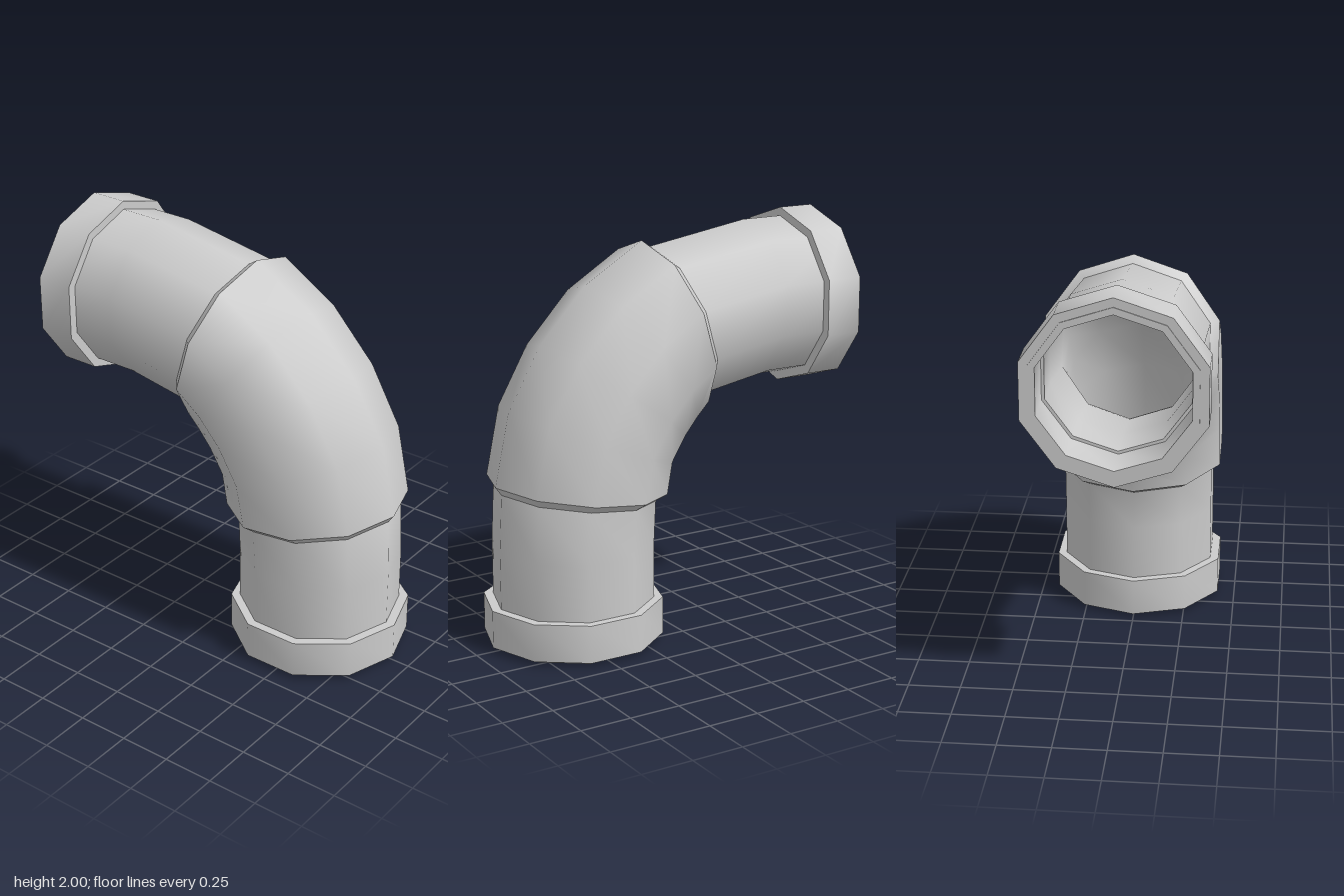
import * as THREE from 'three';
import { toCreasedNormals } from 'three/addons/utils/BufferGeometryUtils.js';

const SIDES = 10;
const material = new THREE.MeshStandardMaterial({ color: 0xcccccc });

// Skin a chain of ten-sided rings; each ring is [x, y, tilt in degrees, radius].
function skinRings(name, rings, closed = true) {
  const pos = [], index = [];
  for (const [x, y, tilt, r] of rings) {
    const a = THREE.MathUtils.degToRad(tilt);
    for (let k = 0; k < SIDES; k++) {
      const t = (k / SIDES) * Math.PI * 2;
      const u = r * Math.cos(t);
      pos.push(x + u * Math.cos(a), y + u * Math.sin(a), r * Math.sin(t));
    }
  }
  const spans = closed ? rings.length : rings.length - 1;
  for (let i = 0; i < spans; i++) {
    const j = (i + 1) % rings.length;
    for (let k = 0; k < SIDES; k++) {
      const n = (k + 1) % SIDES;
      const a = i * SIDES + k, b = j * SIDES + k, c = j * SIDES + n, d = i * SIDES + n;
      index.push(a, b, c, a, c, d);
    }
  }
  const geo = new THREE.BufferGeometry();
  geo.setAttribute('position', new THREE.Float32BufferAttribute(pos, 3));
  geo.setIndex(index);
  const mesh = new THREE.Mesh(toCreasedNormals(geo, 0.73), material);
  mesh.name = name;
  return mesh;
}

export function createModel() {
  const group = new THREE.Group();
  group.name = 'pipeElbow';

  const R = 0.393, SLEEVE = 0.437, MOUTH = 0.36, BORE = 0.345;
  const withRadius = (list, r) => list.map((s) => [...s, r]);

  // Centre line stations: x, y, tilt
  const bottom = [[0.472, 0, 0], [0.472, 0.48, 0], [0.46, 0.725, 6.6]];
  const bend = [
    [0.446, 0.76, 6.6], [0.397, 1.003, 21], [0.281, 1.203, 36],
    [0.133, 1.366, 54], [-0.04, 1.485, 74],
  ];
  const top = [[-0.075, 1.495, 74], [-0.5, 1.565, 90], [-0.91, 1.565, 90]];

  // Hollow pipe: outer wall out, then stepped bore back
  const bore = [
    [0.472, 0.2, 0], ...bottom.slice(1), ...bend, ...top.slice(0, 2), [-0.71, 1.565, 90],
  ];
  group.add(skinRings('pipe', [
    ...withRadius([...bottom, ...bend, ...top], R),
    [-0.91, 1.565, 90, MOUTH],
    [-0.71, 1.565, 90, MOUTH],
    ...withRadius(bore, BORE).reverse(),
    [0.472, 0.2, 0, MOUTH],
    [0.472, 0, 0, MOUTH],
  ]));

  // Thicker sleeve around the bend, chamfered down to the pipe at both ends
  group.add(skinRings('bendSleeve', [
    [...bottom[2], R], ...withRadius(bend, SLEEVE), [...top[0], R],
  ], false));

  // End collars
  const collar = (name, from, to) => group.add(skinRings(name, [
    [...from, R - 0.01], [...from, SLEEVE], [...to, SLEEVE], [...to, R - 0.01],
  ]));
  collar('bottomCollar', [0.474, 0.02, 0], [0.474, 0.205, 0]);
  collar('topCollar', [-0.72, 1.563, 90], [-0.905, 1.563, 90]);

  return group;
}
